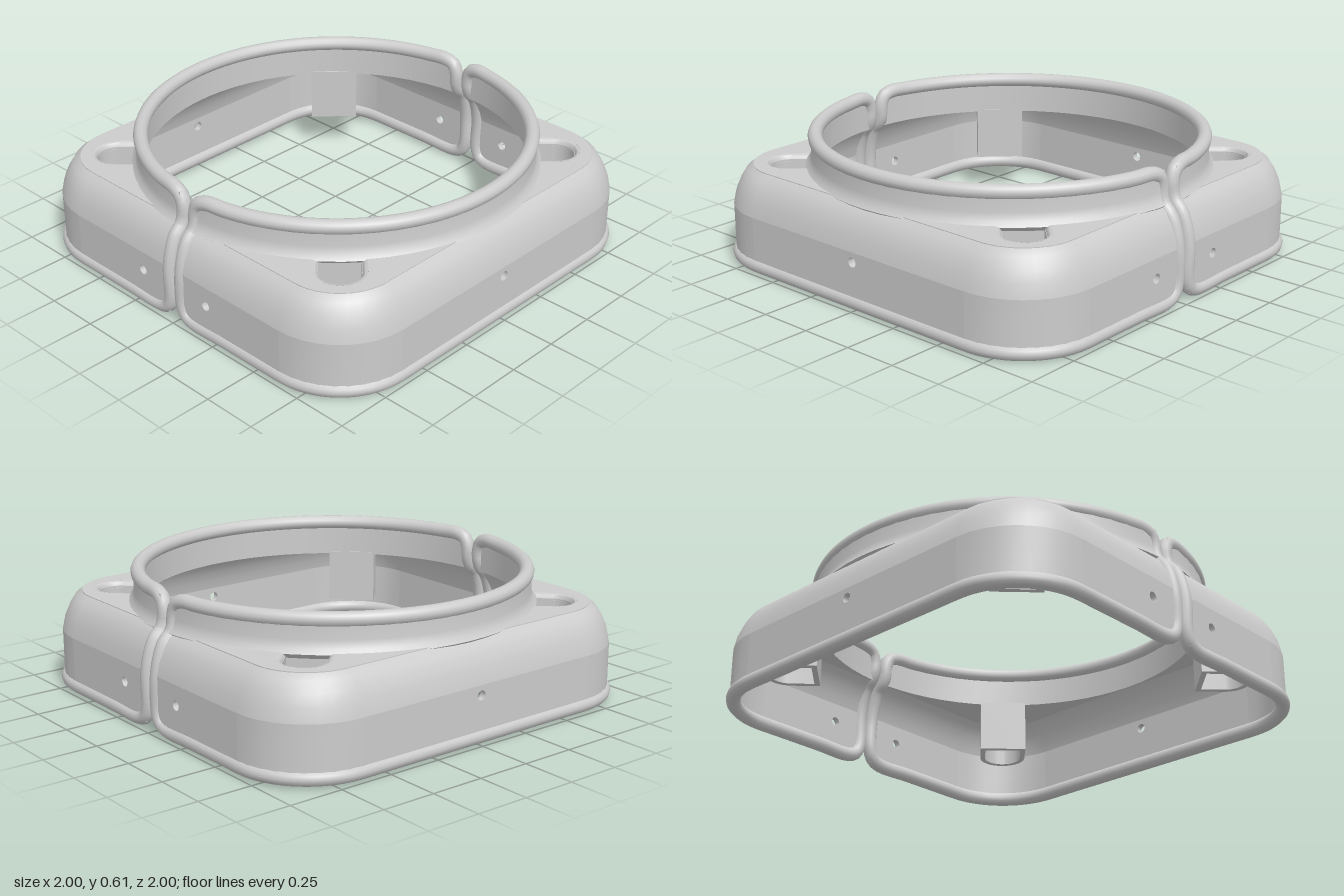
import * as THREE from 'three';
import { toCreasedNormals } from 'three/addons/utils/BufferGeometryUtils.js';

const MAT = new THREE.MeshStandardMaterial({ color: 0xcccccc });
const THIN = new THREE.MeshStandardMaterial({ color: 0xcccccc, side: THREE.DoubleSide });
const PI = Math.PI;
const C = 0.635;      // centre of the rounded corners
const SEAM = 0.037;   // distance of each half's end from the split line
const BEAD = 0.033;   // radius of the rolled edge
const SLOT = 0.99;    // distance of the bolt slots along the diagonal

function add(parent, name, geometry, material = MAT) {
  const mesh = new THREE.Mesh(geometry, material);
  mesh.name = name;
  parent.add(mesh);
  return mesh;
}

// Skin a list of rows of [x, y, z] points; closed joins the last row to the first
function loft(rows, closed) {
  const n = rows[0].length, index = [];
  const last = closed ? rows.length : rows.length - 1;
  for (let j = 0; j < last; j++) {
    const k = (j + 1) % rows.length;
    for (let i = 0; i < n - 1; i++) {
      const a = j * n + i, b = a + 1, c = k * n + i, d = c + 1;
      index.push(a, b, d, a, d, c);
    }
  }
  const g = new THREE.BufferGeometry();
  g.setAttribute('position', new THREE.Float32BufferAttribute(rows.flat(2), 3));
  g.setIndex(index);
  return toCreasedNormals(g, 0.6);
}

// Paths in plan, as [x, z] pairs running from front to back
function arc(cx, cz, r, from, to, n) {
  return Array.from({ length: n + 1 }, (_, i) => {
    const t = from + (to - from) * i / n;
    return [cx + r * Math.cos(t), cz + r * Math.sin(t)];
  });
}
const corner = a => arc(C, C, a - C, PI / 2, 0, 9);
const halfSquare = a => [[SEAM, a], ...corner(a),
  ...arc(C, -C, a - C, 0, -PI / 2, 9), [SEAM, -a]];
const halfCircle = r => {
  const end = Math.acos(SEAM / r);
  return arc(0, 0, r, end, -end, 32);
};
const row = (path, y) => path.map(([x, z]) => [x, y, z]);

// Straight wall with a screw hole, facing +z
function panel(x0, x1, hx, hy) {
  const s = new THREE.Shape();
  s.moveTo(x0, 0.03).lineTo(x1, 0.03).lineTo(x1, 0.26).lineTo(x0, 0.26).closePath();
  s.holes.push(new THREE.Path().absarc(hx, hy, 0.022, 0, PI * 2, true));
  return new THREE.ExtrudeGeometry(s, { depth: 0.03, bevelEnabled: false, curveSegments: 10 });
}

// Turn an extrusion flat, its top at height y
function flat(shape, depth, y) {
  const g = new THREE.ExtrudeGeometry(shape, { depth, bevelEnabled: false, curveSegments: 14 });
  return toCreasedNormals(g.rotateX(PI / 2).translate(0, y, 0), 0.6);
}

// Outline of a bolt slot along +x, round at its outer end
function slotOutline(target, u0, w) {
  target.moveTo(u0, -w).lineTo(SLOT, -w);
  target.absarc(SLOT, 0, w, -PI / 2, PI / 2, false);
  target.lineTo(u0, w).closePath();
  return target;
}

function createCorner() {
  const g = new THREE.Group();
  g.name = 'corner';

  // Curved lower wall
  const wall = [[0.985, 0.03], [0.985, 0.26], [0.955, 0.26], [0.955, 0.03]];
  add(g, 'cornerWall', loft(wall.map(([a, y]) => row(corner(a), y)), true));

  // Flat deck between the wall and the collar, notched for the bolt slot
  const w = 0.112, d = Math.asin(w / 0.88), p = SLOT * Math.SQRT1_2;
  const deck = new THREE.Shape();
  deck.moveTo(0.89, 0.035).lineTo(0.89, C);
  deck.absarc(C, C, 0.89 - C, 0, PI / 2, false);
  deck.lineTo(0.035, 0.89);
  deck.absarc(0, 0, 0.88, PI / 2 - 0.04, PI / 4 + d, true);
  deck.absarc(p, p, w, PI * 0.75, -PI / 4, true);
  deck.absarc(0, 0, 0.88, PI / 4 - d, 0.04, true);
  add(g, 'deck', flat(deck, 0.03, 0.44));

  // Hollow bolt column hanging below the deck
  const column = slotOutline(new THREE.Shape(), 0.86, 0.112);
  column.holes.push(slotOutline(new THREE.Path(), 0.885, 0.088));
  add(g, 'boltColumn', flat(column, 0.25, 0.42)).rotation.y = -PI / 4;

  // Rounded lip leading from the deck into the slot
  const lip = [[0.112, 0.44], [0.1, 0.437], [0.092, 0.428], [0.088, 0.41]].map(([r, y]) =>
    row([[0.885, -r], ...arc(SLOT, 0, r, -PI / 2, PI / 2, 14), [0.885, r]], y));
  add(g, 'slotLip', loft(lip, false), THIN).rotation.y = -PI / 4;
  return g;
}

function createHalf() {
  const g = new THREE.Group();
  g.name = 'halfShell';

  // Straight walls
  add(g, 'frontWall', panel(SEAM, C, 0.2, 0.17).translate(0, 0, 0.955));
  add(g, 'backWall', panel(SEAM, C, 0.2, 0.17).translate(0, 0, -0.985));
  add(g, 'sideWall', panel(-C, C, 0, 0.215).translate(0, 0, 0.955).rotateY(PI / 2));

  // Shoulder rounding the wall over into the deck
  const shoulder = [[0.985, 0.26], [0.972, 0.32], [0.95, 0.37], [0.922, 0.415], [0.885, 0.44],
    [0.875, 0.41], [0.897, 0.39], [0.922, 0.35], [0.943, 0.305], [0.955, 0.26]];
  add(g, 'shoulder', loft(shoulder.map(([a, y]) => row(halfSquare(a), y)), true));

  // Round collar, flared where it meets the deck
  const collar = [[0.92, 0.435], [0.902, 0.455], [0.894, 0.49], [0.894, 0.58],
    [0.868, 0.58], [0.868, 0.41], [0.89, 0.41]];
  add(g, 'collar', loft(collar.map(([r, y]) => row(halfCircle(r), y)), true));

  // Rolled edge: along the bottom, up the back seam, round the collar, down the front seam
  const a = 0.967, low = 0.033, high = 0.572, r = 0.872;
  const end = Math.acos(0.1 / r);
  const seam = [[a, 0.1], [a, 0.24], [0.95, 0.33], [0.925, 0.39], [0.892, 0.425],
    [0.878, 0.46], [0.874, 0.51]];
  const bottom = [[0.1, a], [0.3, a], [0.55, a], ...corner(a), [a, 0.5], [a, 0],
    [a, -0.5], ...arc(C, -C, a - C, 0, -PI / 2, 9), [0.55, -a], [0.3, -a], [0.1, -a]];
  const points = [
    ...row(bottom, low), [0.057, 0.053, -a],
    ...seam.map(([z, y]) => [SEAM, y, -z]), [0.055, 0.554, -0.872],
    ...row(arc(0, 0, r, -end, end, 28), high), [0.055, 0.554, 0.872],
    ...seam.map(([z, y]) => [SEAM, y, z]).reverse(), [0.057, 0.053, a],
  ].map(p => new THREE.Vector3(...p));
  const path = new THREE.CatmullRomCurve3(points, true, 'centripetal');
  add(g, 'rolledEdge', new THREE.TubeGeometry(path, 320, BEAD, 12, true));
  return g;
}

export function createModel() {
  const model = new THREE.Group();
  model.name = 'splitCollarHousing';
  for (let i = 0; i < 2; i++) {
    const half = createHalf();
    half.rotation.y = i * PI;
    model.add(half);
  }
  for (let i = 0; i < 4; i++) {
    const piece = createCorner();
    piece.rotation.y = i * PI / 2;
    model.add(piece);
  }
  return model;
}
